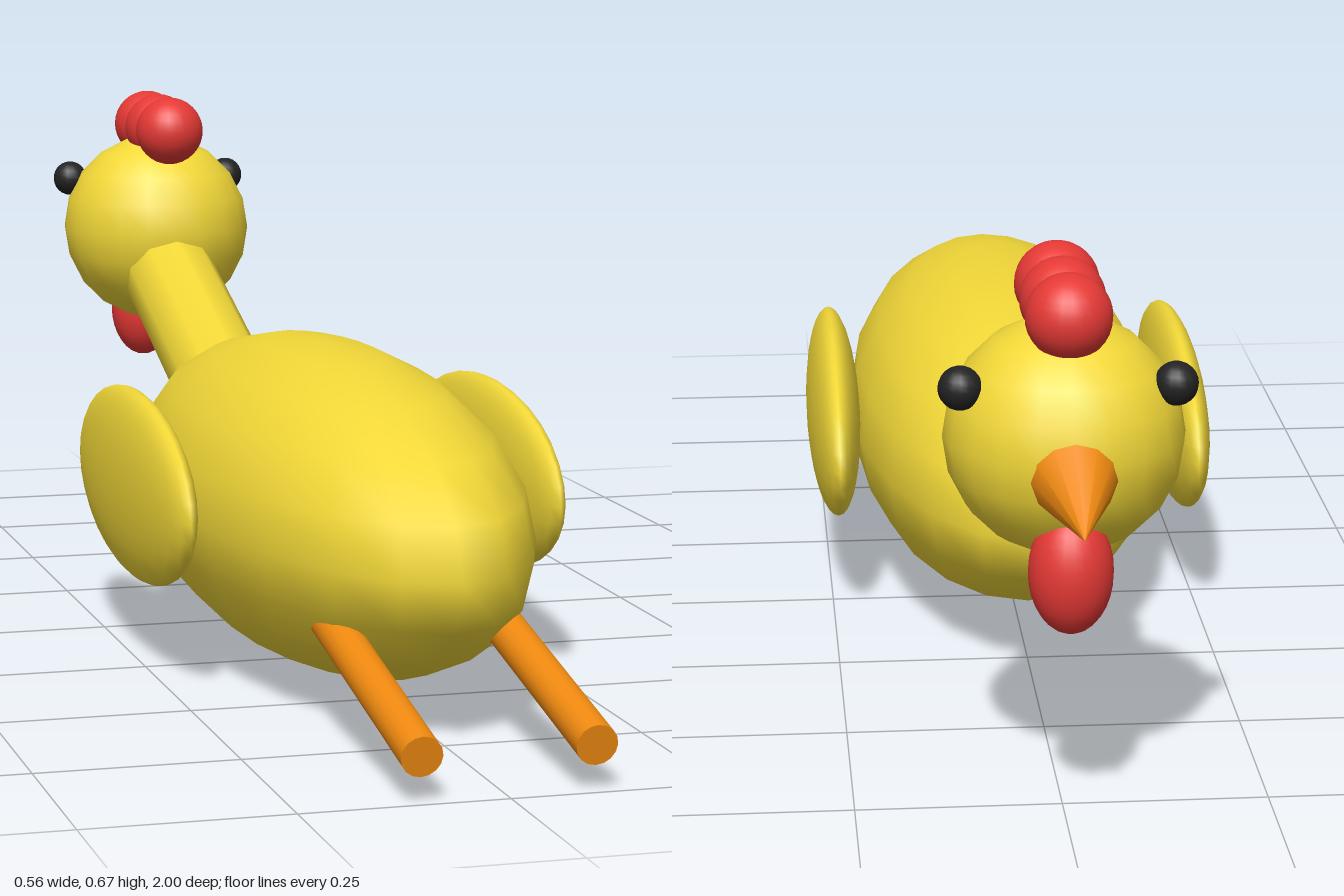
import * as THREE from 'three';

const paint = (color) => new THREE.MeshStandardMaterial({ color });

export function createModel() {
  const group = new THREE.Group();
  const yellow = paint(0xf2d838);
  const red = paint(0xe53935);
  const orange = paint(0xf08a10);
  const black = paint(0x222222);

  const add = (name, geometry, material) => {
    const mesh = new THREE.Mesh(geometry, material);
    mesh.name = name;
    group.add(mesh);
    return mesh;
  };

  // Sphere stretched to the given radii
  const ellipsoid = (name, material, pos, radii, w = 24, h = 16) => {
    const mesh = add(name, new THREE.SphereGeometry(1, w, h), material);
    mesh.position.set(...pos);
    mesh.scale.set(...radii);
    return mesh;
  };

  // Cylinder or cone running from one point to another
  const rod = (name, material, from, to, r0, r1, sides) => {
    const a = new THREE.Vector3(...from);
    const b = new THREE.Vector3(...to);
    const dir = b.clone().sub(a);
    const mesh = add(name, new THREE.CylinderGeometry(r1, r0, dir.length(), sides), material);
    mesh.position.copy(a).add(b).multiplyScalar(0.5);
    mesh.quaternion.setFromUnitVectors(new THREE.Vector3(0, 1, 0), dir.normalize());
    return mesh;
  };

  // Body, neck and head
  ellipsoid('body', yellow, [0, 0.21, 0.22], [0.215, 0.208, 0.6], 20, 10);
  rod('neck', yellow, [0, 0.274, -0.302], [0, 0.418, -0.7], 0.07, 0.07, 10);
  ellipsoid('head', yellow, [0, 0.469, -0.75], [0.143, 0.143, 0.143], 20, 10);

  // Beak and wattle
  rod('beak', orange, [0, 0.45, -0.88], [0, 0.42, -1], 0.05, 0, 12);
  ellipsoid('wattle', red, [0, 0.33, -0.842], [0.05, 0.075, 0.05]);

  // Comb
  for (let i = 0; i < 3; i++) {
    ellipsoid('comb', red, [0, 0.625, -0.655 - i * 0.075], [0.051, 0.051, 0.051]);
  }

  // Mirrored eyes, wings and legs
  for (const s of [1, -1]) {
    const side = s > 0 ? 'left' : 'right';
    ellipsoid(side + 'Eye', black, [s * 0.125, 0.542, -0.803], [0.026, 0.026, 0.026], 16, 12);
    ellipsoid(side + 'Wing', yellow, [s * 0.242, 0.23, 0.165], [0.037, 0.124, 0.309]);
    rod(side + 'Leg', orange, [s * 0.104, 0.135, 0.6], [s * 0.104, 0.056, 0.995], 0.025, 0.025, 16);
  }

  return group;
}
